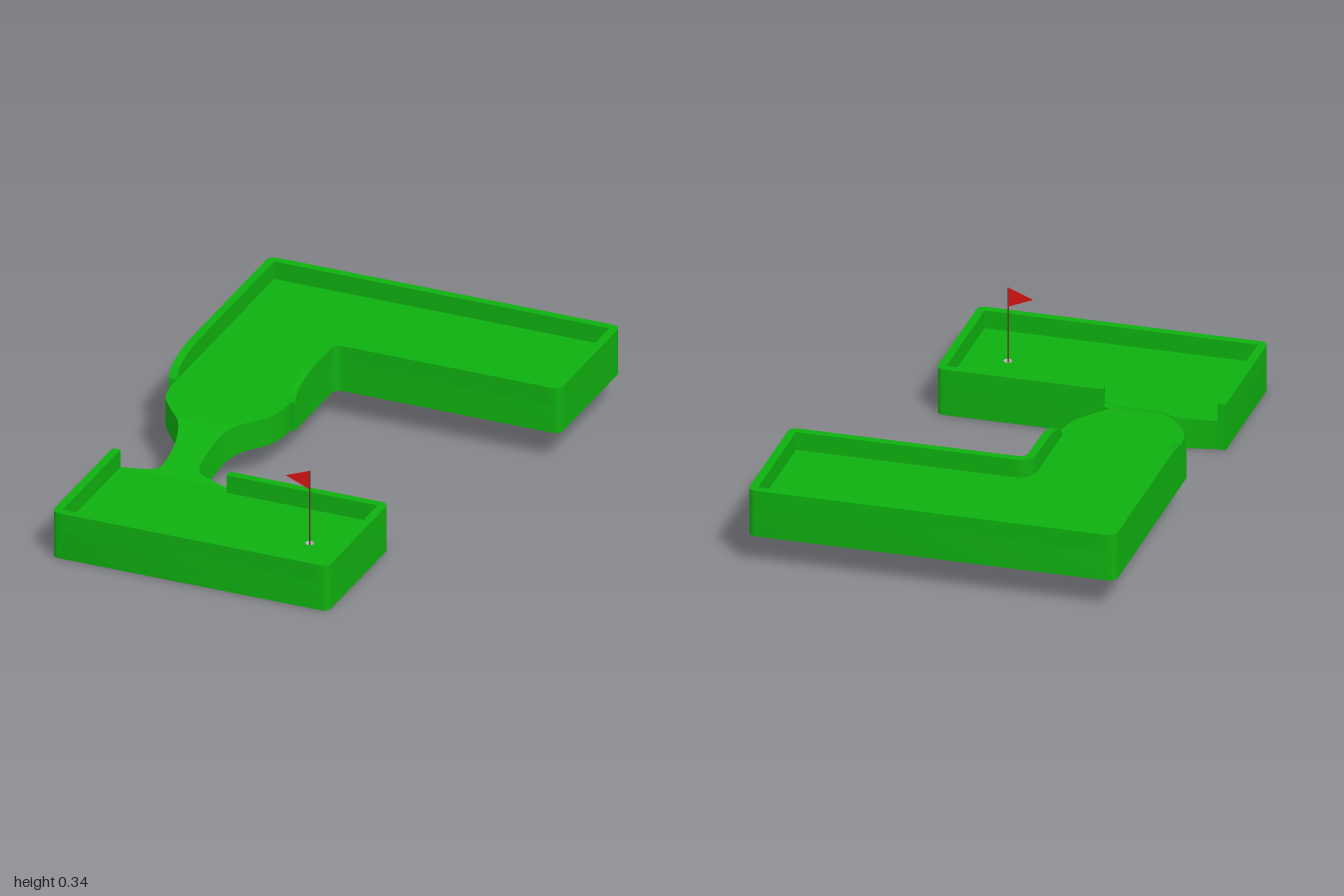
import * as THREE from 'three';
import { toCreasedNormals } from 'three/addons/utils/BufferGeometryUtils.js';

const FLOOR = 0.095, RIM = 0.06, WALL = 0.027;
const green = new THREE.MeshStandardMaterial({ color: 0x0fb010 });
const red = new THREE.MeshStandardMaterial({ color: 0xd81414, side: THREE.DoubleSide });
const brown = new THREE.MeshStandardMaterial({ color: 0x6b3a30 });
const grey = new THREE.MeshStandardMaterial({ color: 0xcccccc, side: THREE.DoubleSide });

function add(parent, name, geometry, material) {
  const mesh = new THREE.Mesh(geometry, material);
  mesh.name = name;
  parent.add(mesh);
  return mesh;
}

// Open plan outline [x, z] with its inner corners rounded
function rounded(corners, r = 0.03) {
  const p = corners.map(([x, z]) => new THREE.Vector2(x, z));
  const out = [p[0]];
  for (let i = 1; i < p.length - 1; i++) {
    const toward = (q) => q.clone().sub(p[i]).setLength(r).add(p[i]);
    out.push(...new THREE.QuadraticBezierCurve(toward(p[i - 1]), p[i], toward(p[i + 1])).getPoints(6));
  }
  out.push(p[p.length - 1]);
  return out;
}

// Horizontal slab from y = bottom to y = top, with an optional round hole
function slab(outline, bottom, top, hole) {
  const shape = new THREE.Shape(outline);
  if (hole) shape.holes.push(new THREE.Path().absarc(hole.x, hole.z, hole.r, 0, Math.PI * 2, true));
  const g = new THREE.ExtrudeGeometry(shape, { depth: top - bottom, bevelEnabled: false, curveSegments: 10 });
  g.rotateX(Math.PI / 2).translate(0, top, 0);
  return toCreasedNormals(g, 0.6);
}

// Joins four-cornered cross-sections (outer bottom, outer top, inner top, inner bottom)
function loft(rings) {
  const index = [0, 1, 2, 0, 2, 3];
  for (let i = 0; i < rings.length - 1; i++) {
    for (let j = 0; j < 4; j++) {
      const a = i * 4 + j, b = i * 4 + (j + 1) % 4;
      index.push(a, a + 4, b, a + 4, b + 4, b);
    }
  }
  const e = (rings.length - 1) * 4;
  index.push(e, e + 2, e + 1, e, e + 3, e + 2);
  const g = new THREE.BufferGeometry();
  g.setAttribute('position', new THREE.Float32BufferAttribute(rings.flat(2), 3));
  g.setIndex(index);
  return toCreasedNormals(g, 0.6);
}

// Rim wall along an outline; height(x) shapes its top
function rim(outline, base, height) {
  const path = [outline[0]];
  for (let i = 1; i < outline.length; i++) {
    const a = outline[i - 1], b = outline[i];
    const n = Math.ceil(a.distanceTo(b) / 0.02);
    for (let k = 1; k <= n; k++) path.push(a.clone().lerp(b, k / n));
  }
  return loft(path.map((p, i) => {
    const d1 = p.clone().sub(path[Math.max(i - 1, 0)]).normalize();
    const d2 = path[Math.min(i + 1, path.length - 1)].clone().sub(p).normalize();
    const d = d1.add(d2).normalize();
    const x = p.x + d.y * WALL, z = p.y - d.x * WALL;
    const top = base + height(p.x);
    return [[p.x, base, p.y], [p.x, top, p.y], [x, top, z], [x, base, z]];
  }));
}

export function createModel() {
  const model = new THREE.Group();
  model.name = 'miniGolfHole';
  // Everything is laid out square, then turned an eighth
  const course = new THREE.Group();
  course.name = 'course';
  course.rotation.y = Math.PI / 4;
  model.add(course);

  // Lower green with the cup
  const cup = { x: -0.667, z: 0.237, r: 0.014 };
  const lower = rounded([[-0.43, -0.53], [-0.9, -0.53], [-0.9, 0.4], [-0.43, 0.4], [-0.43, -0.135]]);
  add(course, 'lowerBase', slab(lower, 0, 0.03), green);
  add(course, 'lowerFloor', slab(lower, 0.03, FLOOR, cup), green);
  add(course, 'lowerRim', rim(lower, FLOOR, () => RIM), green);

  // Upper L-shaped fairway, its rim rounding down at the open end
  const lift = 0.1;
  const upper = rounded([[0, -0.106], [0.307, -0.106], [0.307, 0.65], [0.775, 0.65], [0.775, -0.53], [0, -0.53]]);
  const taper = (x) => 0.002 + (RIM - 0.002) * Math.sqrt(1 - Math.max(0, 1 - x / 0.17) ** 2);
  add(course, 'upperFloor', slab(upper, lift, lift + FLOOR), green);
  add(course, 'upperRim', rim(upper, lift + FLOOR, taper), green);

  // Narrow ramp: x, right edge, left edge, top, bottom
  const rows = [
    [-0.43, -0.14, -0.5, 0.095, 0],
    [-0.41, -0.2, -0.405, 0.1, 0],
    [-0.385, -0.258, -0.378, 0.112, 0.008],
    [-0.32, -0.25, -0.367, 0.157, 0.046],
    [-0.25, -0.228, -0.388, 0.189, 0.085],
    [-0.19, -0.195, -0.438, 0.195, 0.099],
    [-0.12, -0.142, -0.487, 0.195, 0.1],
    [-0.05, -0.122, -0.502, 0.195, 0.1],
    [0, -0.12, -0.505, 0.195, 0.1],
  ];
  const edge = (f) => new THREE.CatmullRomCurve3(rows.map(f), false, 'catmullrom').getPoints(40);
  const right = edge(([x, r, , t]) => new THREE.Vector3(x, t, r));
  const left = edge(([x, , l, , b]) => new THREE.Vector3(x, b, l));
  add(course, 'ramp', loft(right.map((r, i) => {
    const l = left[i];
    return [[r.x, l.y, r.z], [r.x, r.y, r.z], [r.x, r.y, l.z], [r.x, l.y, l.z]];
  })), green);

  // Cup, flagstick and flag
  const cupWall = add(course, 'cupWall', new THREE.CylinderGeometry(cup.r, cup.r, 0.066, 20, 1, true), grey);
  cupWall.position.set(cup.x, 0.063, cup.z);
  const cupBottom = add(course, 'cupBottom', new THREE.CircleGeometry(cup.r, 20).rotateX(-Math.PI / 2), grey);
  cupBottom.position.set(cup.x, 0.032, cup.z);
  const stick = add(course, 'flagstick', new THREE.CylinderGeometry(0.002, 0.002, 0.312, 8), brown);
  stick.position.set(cup.x, 0.188, cup.z);
  const pennant = new THREE.Shape([[0, 0.28], [0, 0.344], [0.08, 0.313]].map(([x, y]) => new THREE.Vector2(x, y)));
  const flag = add(course, 'flag', new THREE.ExtrudeGeometry(pennant, { depth: 0.002, bevelEnabled: false }), red);
  flag.rotation.y = Math.PI / 2;
  flag.position.set(cup.x - 0.001, 0, cup.z);
  return model;
}
